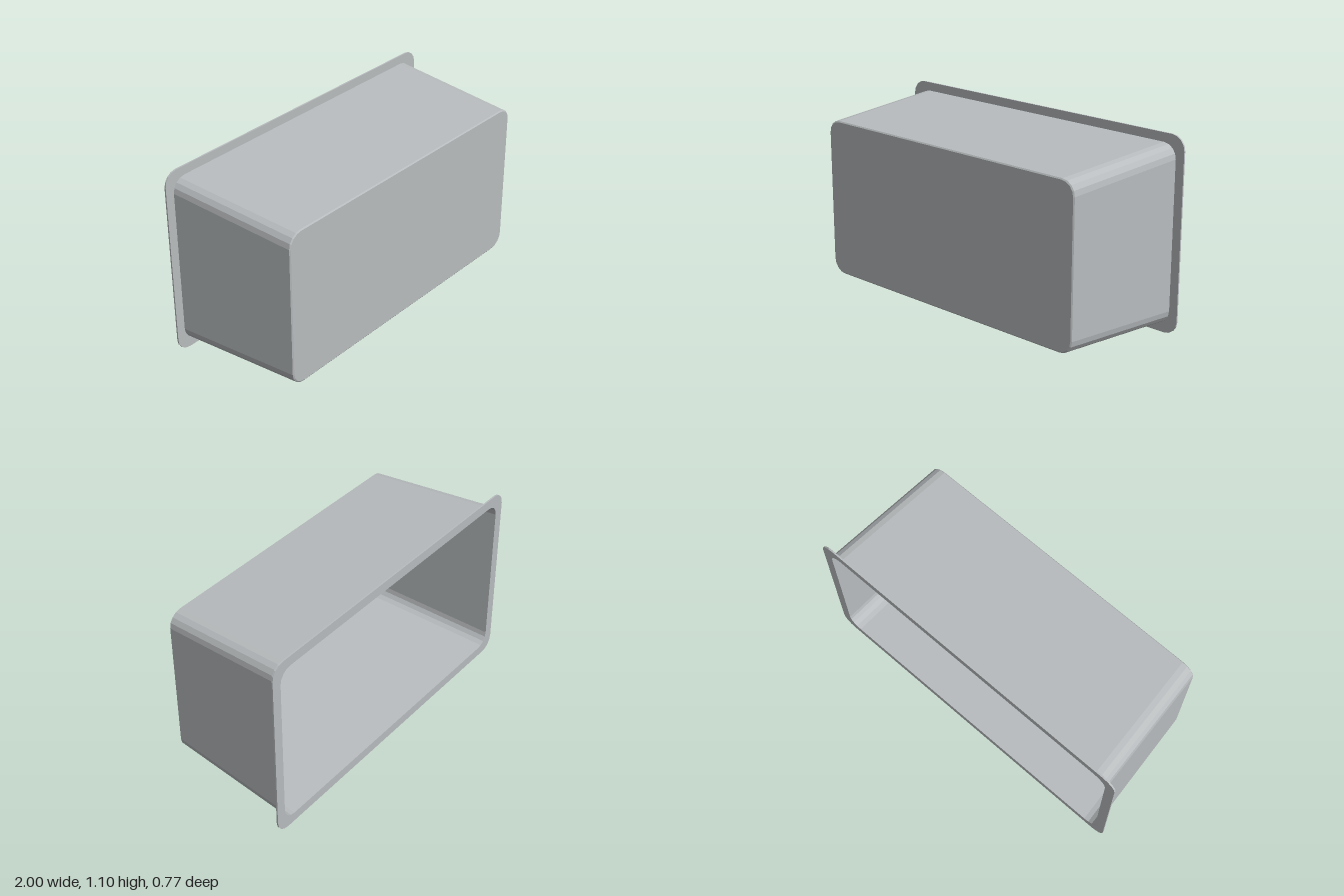
import * as THREE from 'three';

const CENTER_Y = 0.5515;
const CORNER_STEPS = 4;

// Rounded rectangle ring, counter-clockwise seen from +z
function ring(halfX, halfY, radius, z) {
  const points = [];
  [[1, 1], [-1, 1], [-1, -1], [1, -1]].forEach(([sx, sy], corner) => {
    for (let i = 0; i <= CORNER_STEPS; i++) {
      const a = (corner + i / CORNER_STEPS) * Math.PI / 2;
      points.push([
        sx * (halfX - radius) + radius * Math.cos(a),
        CENTER_Y + sy * (halfY - radius) + radius * Math.sin(a),
        z,
      ]);
    }
  });
  return points;
}

// Skin between consecutive rings; optional flat cap over the first or last ring
function loft(name, rings, material, cap) {
  const positions = [];
  const tri = (a, b, c) => positions.push(...a, ...b, ...c);
  for (let r = 0; r < rings.length - 1; r++) {
    const A = rings[r], B = rings[r + 1];
    A.forEach((p, i) => {
      const j = (i + 1) % A.length;
      tri(p, B[i], B[j]);
      tri(p, B[j], A[j]);
    });
  }
  if (cap) {
    const edge = cap === 'first' ? rings[0] : rings[rings.length - 1];
    const middle = [0, CENTER_Y, edge[0][2]];
    edge.forEach((p, i) => tri(middle, p, edge[(i + 1) % edge.length]));
    // The inner floor looks towards -z, so its corners run the other way
    if (cap === 'last') {
      for (let k = positions.length - edge.length * 9; k < positions.length; k += 9) {
        for (let c = 0; c < 3; c++) {
          [positions[k + 3 + c], positions[k + 6 + c]] = [positions[k + 6 + c], positions[k + 3 + c]];
        }
      }
    }
  }
  const geometry = new THREE.BufferGeometry();
  geometry.setAttribute('position', new THREE.Float32BufferAttribute(positions, 3));
  geometry.computeVertexNormals();
  const mesh = new THREE.Mesh(geometry, material);
  mesh.name = name;
  return mesh;
}

export function createModel() {
  const metal = new THREE.MeshStandardMaterial({ color: 0xb8bcbe });
  metal.name = 'brushed grey metal';

  // Rings run from the closed end, over the rim and down into the basin
  const endFace = ring(0.898, 0.45, 0.075, 0.383);
  const endEdge = ring(0.905, 0.457, 0.08, 0.378);
  const wallTop = ring(0.949, 0.501, 0.08, -0.374);
  const rimFront = ring(1, 0.5515, 0.08, -0.374);
  const rimBack = ring(1, 0.5515, 0.08, -0.383);
  const opening = ring(0.943, 0.495, 0.075, -0.383);
  const floorEdge = ring(0.898, 0.45, 0.075, 0.373);

  const group = new THREE.Group();
  group.name = 'basin';
  group.add(
    loft('outerShell', [endFace, endEdge, wallTop], metal, 'first'),
    loft('rim', [wallTop, rimFront, rimBack, opening], metal),
    loft('innerShell', [opening, floorEdge], metal, 'last'),
  );
  return group;
}
